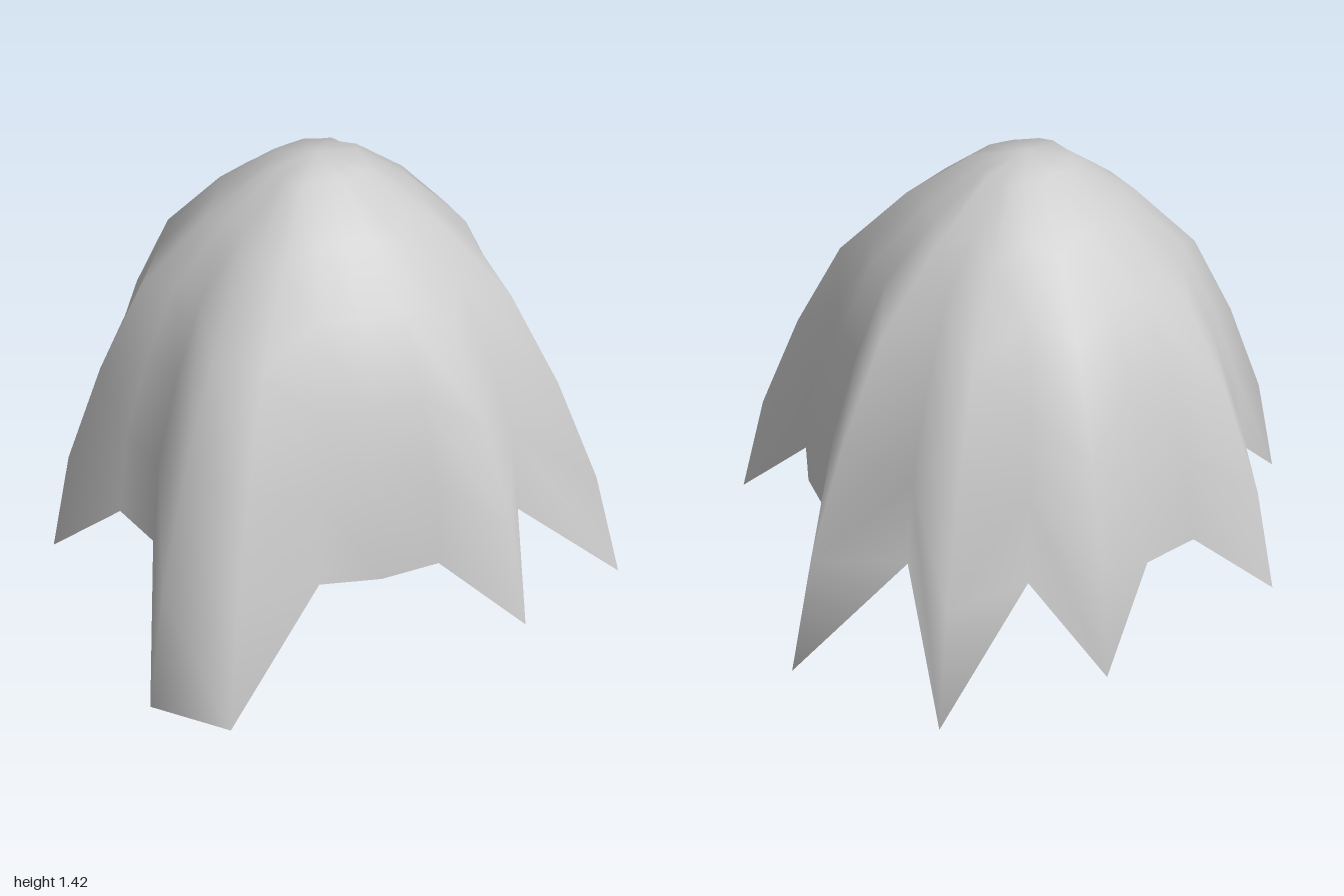
import * as THREE from 'three';

// One letter per 15 degree step, from +x towards +z:
// b = valley of the hem, s = short point, l = long point
const HEM = 'blbsbbbllbbsbbsbbsblblbb';
const SPREAD = { b: 0, s: 0.18, l: 0.3 }; // extra radius at the hem
const LOW = { b: 0.34, s: 0.1, l: 0 };    // height of the hem
const RADII = [0.14, 0.31, 0.49, 0.6, 0.69, 0.73]; // valley radius per ring
const TOP = 1.425, CENTRE_X = -0.06;

// Draped canopy: rings of a dome, each ray drawn out to its own hem point
function canopyGeometry() {
  const n = HEM.length, rings = RADII.length;
  const pos = [CENTRE_X, TOP, 0], index = [];
  RADII.forEach((radius, k) => {
    const t = (k + 1) / rings;
    const fall = k === 0 ? 0.975 : Math.cos(t * Math.PI / 2);
    for (let j = 0; j < n; j++) {
      const a = j / n * Math.PI * 2, kind = HEM[j];
      const r = radius + SPREAD[kind] * t ** 1.25;
      const y = LOW[kind] + (TOP - LOW[kind]) * fall;
      pos.push(CENTRE_X + r * Math.cos(a), Math.max(0, y), r * Math.sin(a));
    }
  });
  for (let j = 0; j < n; j++) {
    const m = (j + 1) % n;
    index.push(0, 1 + m, 1 + j);
    for (let k = 0; k < rings - 1; k++) {
      const u = 1 + k * n, d = u + n;
      index.push(u + j, u + m, d + j, u + m, d + m, d + j);
    }
  }
  const g = new THREE.BufferGeometry();
  g.setAttribute('position', new THREE.Float32BufferAttribute(pos, 3));
  g.setIndex(index);
  g.computeVertexNormals();
  return g;
}

export function createModel() {
  const group = new THREE.Group();
  const material = new THREE.MeshStandardMaterial({ color: 0xcccccc, side: THREE.DoubleSide });
  const canopy = new THREE.Mesh(canopyGeometry(), material);
  canopy.name = 'canopy';
  group.add(canopy);
  return group;
}
